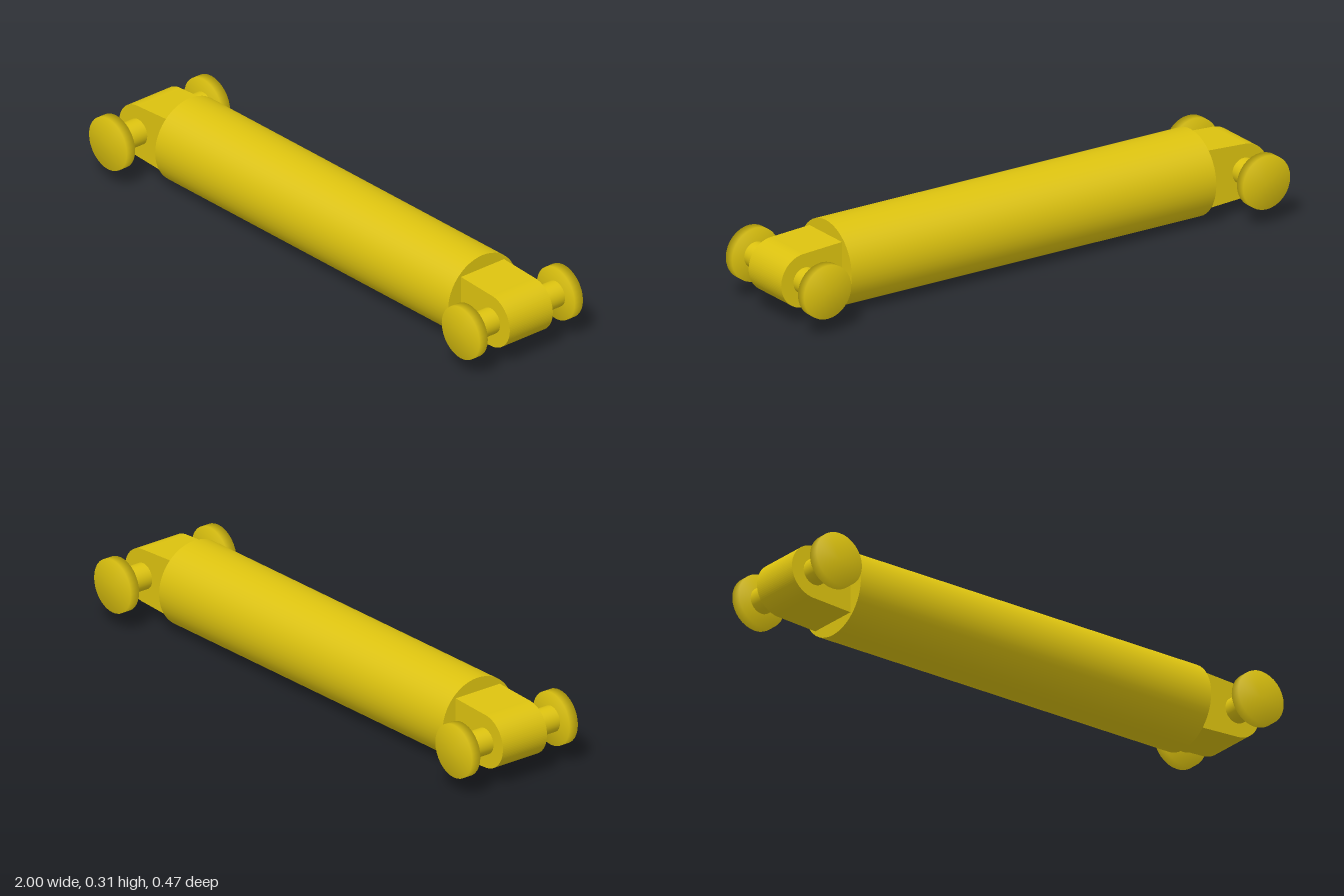
import * as THREE from 'three';

export function createModel() {
  const group = new THREE.Group();
  group.name = 'linkRod';
  const material = new THREE.MeshStandardMaterial({ color: 0xdcc20f });
  const axisY = 0.155, pinX = 0.903, headR = 0.097;

  const add = (parent, geometry, name) => {
    const mesh = new THREE.Mesh(geometry, material);
    mesh.name = name;
    parent.add(mesh);
    return mesh;
  };

  // Main barrel along x
  const barrel = add(group, new THREE.CylinderGeometry(0.155, 0.155, 1.5, 48), 'barrel');
  barrel.rotation.z = Math.PI / 2;
  barrel.position.y = axisY;

  // Lug outline: slight taper ending in a round nose
  const outline = new THREE.Shape();
  outline.moveTo(0.74, -0.106);
  outline.lineTo(pinX, -headR);
  outline.absarc(pinX, 0, headR, -Math.PI / 2, Math.PI / 2, false);
  outline.lineTo(0.74, 0.106);
  outline.closePath();
  const lugGeometry = new THREE.ExtrudeGeometry(outline, { depth: 0.194, bevelEnabled: false, curveSegments: 24 });
  lugGeometry.translate(0, 0, -0.097);

  // Pin head: a disc with softly shaded edges
  const headGeometry = new THREE.LatheGeometry(
    [[0, 0], [headR, 0], [headR, 0.037], [0, 0.037]].map(([r, h]) => new THREE.Vector2(r, h)), 32);
  headGeometry.rotateX(Math.PI / 2);

  // Matching lug, pin and heads at both ends
  for (const [name, turn] of [['left', 0], ['right', Math.PI]]) {
    const end = new THREE.Group();
    end.name = name + 'End';
    end.position.y = axisY;
    end.rotation.y = turn;
    group.add(end);

    add(end, lugGeometry, name + 'Lug');
    const pin = add(end, new THREE.CylinderGeometry(0.047, 0.047, 0.4, 32), name + 'Pin');
    pin.rotation.x = Math.PI / 2;
    pin.position.x = pinX;
    for (const side of [0, 1]) {
      const head = add(end, headGeometry, name + 'PinHead');
      head.position.set(pinX, 0, side ? -0.196 : 0.196);
      head.rotation.y = side * Math.PI;
    }
  }
  return group;
}
